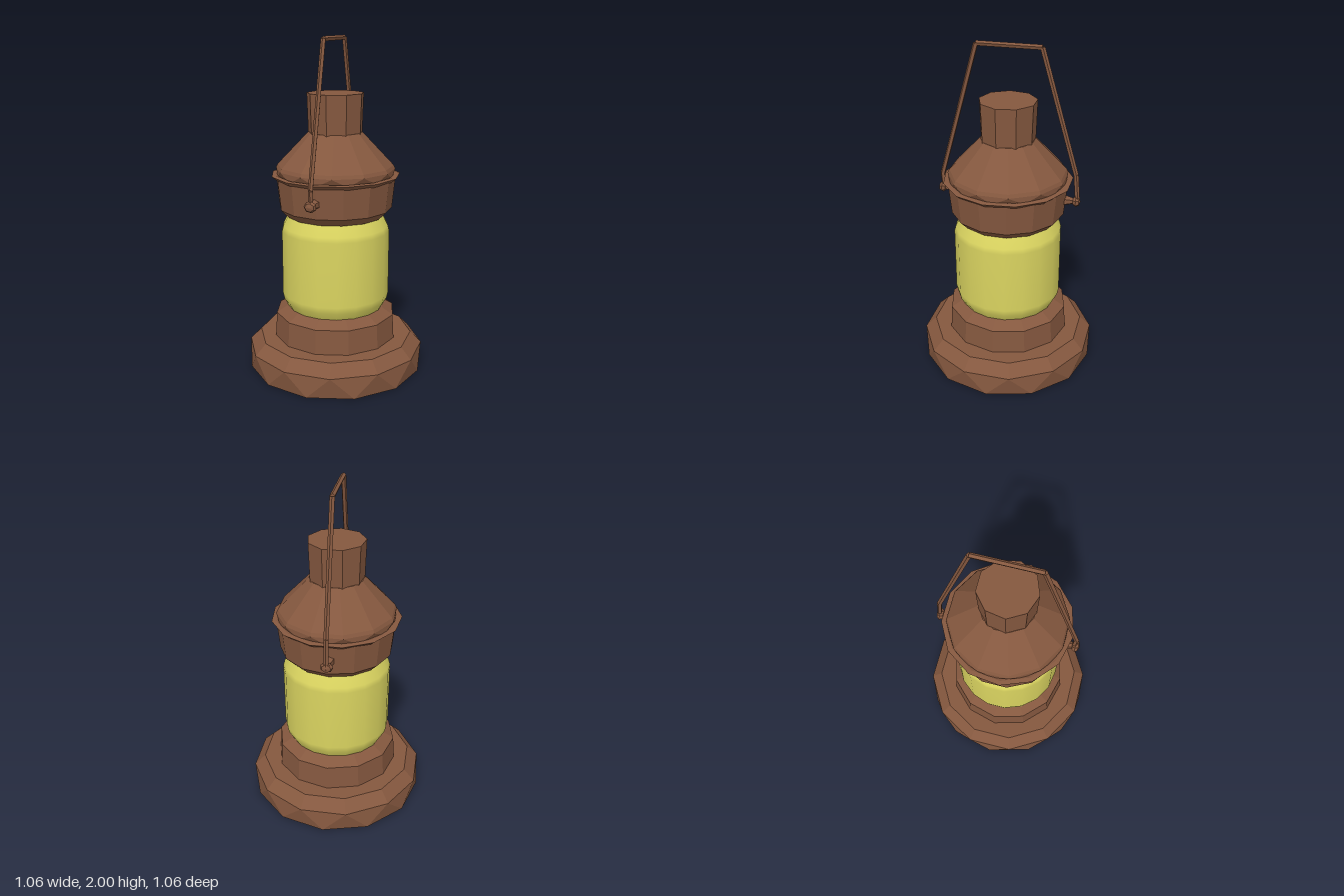
import * as THREE from 'three';

const brown = new THREE.MeshStandardMaterial({ color: 0x85583f });
brown.name = 'brown metal';
const yellow = new THREE.MeshStandardMaterial({ color: 0xdad460 });
yellow.name = 'yellow glass';

// Gives every face its own normal
function facet(geometry) {
  const flat = geometry.index ? geometry.toNonIndexed() : geometry;
  flat.computeVertexNormals();
  return flat;
}

// Faceted turned part; each profile point is [radius, y, twist in steps]
function turned(name, sides, profile) {
  const g = new THREE.LatheGeometry(profile.map(([r, y]) => new THREE.Vector2(r, y)), sides);
  const p = g.attributes.position;
  const v = new THREE.Vector3();
  const up = new THREE.Vector3(0, 1, 0);
  for (let i = 0; i < p.count; i++) {
    const twist = profile[i % profile.length][2] || 0;
    v.fromBufferAttribute(p, i).applyAxisAngle(up, (twist * Math.PI * 2) / sides);
    p.setXYZ(i, v.x, v.y, v.z);
  }
  const mesh = new THREE.Mesh(facet(g), brown);
  mesh.name = name;
  return mesh;
}

// Tapered rod between two points
function rod(name, a, b, r0, r1, sides) {
  const dir = b.clone().sub(a);
  const mesh = new THREE.Mesh(facet(new THREE.CylinderGeometry(r1, r0, dir.length(), sides)), brown);
  mesh.position.copy(a).add(b).multiplyScalar(0.5);
  mesh.quaternion.setFromUnitVectors(new THREE.Vector3(0, 1, 0), dir.normalize());
  mesh.name = name;
  return mesh;
}

export function createModel() {
  const model = new THREE.Group();
  model.name = 'lantern';

  // Stepped foot
  model.add(turned('base', 12, [
    [0, 0], [0.53, 0], [0.535, 0.13, 0.5], [0.468, 0.197, 0.5], [0, 0.197, 0.5],
  ]));
  model.add(turned('baseCollar', 12, [
    [0.375, 0.19], [0.366, 0.345], [0.3, 0.385], [0, 0.385],
  ]));

  // Smooth glass with bevelled shoulders
  const glass = new THREE.Mesh(new THREE.LatheGeometry([
    [0.29, 0.38], [0.318, 0.43], [0.326, 0.47], [0.326, 0.86], [0.318, 0.89], [0.282, 0.96],
  ].map(([r, y]) => new THREE.Vector2(r, y)), 18), yellow);
  glass.name = 'glass';
  model.add(glass);

  // Cap, rim, roof and chimney
  model.add(turned('cap', 14, [
    [0, 0.955], [0.295, 0.955], [0.338, 1.0], [0.357, 1.185], [0, 1.185],
  ]));
  model.add(turned('rim', 13, [
    [0.355, 1.175], [0.385, 1.2], [0.36, 1.205], [0.34, 1.2],
  ]));
  model.add(turned('roof', 12, [
    [0.345, 1.19], [0.355, 1.235, 0.5], [0.345, 1.255, 0.5], [0.16, 1.45, 0.5], [0, 1.45, 0.5],
  ]));
  model.add(turned('chimney', 9, [
    [0.162, 1.44], [0.17, 1.677], [0, 1.677],
  ]));

  // Bent carrying handle
  const handle = new THREE.Group();
  handle.name = 'handle';
  const path = [[1.08, 0.4], [1.18, 0.408], [1.985, 0.185], [1.985, -0.19], [1.26, -0.402], [1.08, -0.418]]
    .map(([y, z]) => new THREE.Vector3(-0.008, y, z));
  for (let i = 0; i < path.length - 1; i++) {
    handle.add(rod('handleRod', path[i], path[i + 1], 0.015, 0.015, 5));
  }
  model.add(handle);

  // Pivot pins with knobs, front and back
  for (const s of [1, -1]) {
    const at = (z) => new THREE.Vector3(-0.01, 1.09, s * z);
    model.add(rod('pivotPin', at(0.335), at(0.4), 0.035, 0.016, 6));
    const knob = new THREE.Mesh(facet(new THREE.SphereGeometry(0.04, 7, 4)), brown);
    knob.name = 'pivotKnob';
    knob.rotation.x = Math.PI / 2;
    knob.scale.set(0.95, 0.6, 0.85);
    knob.position.copy(at(0.41));
    model.add(knob);
  }
  return model;
}
